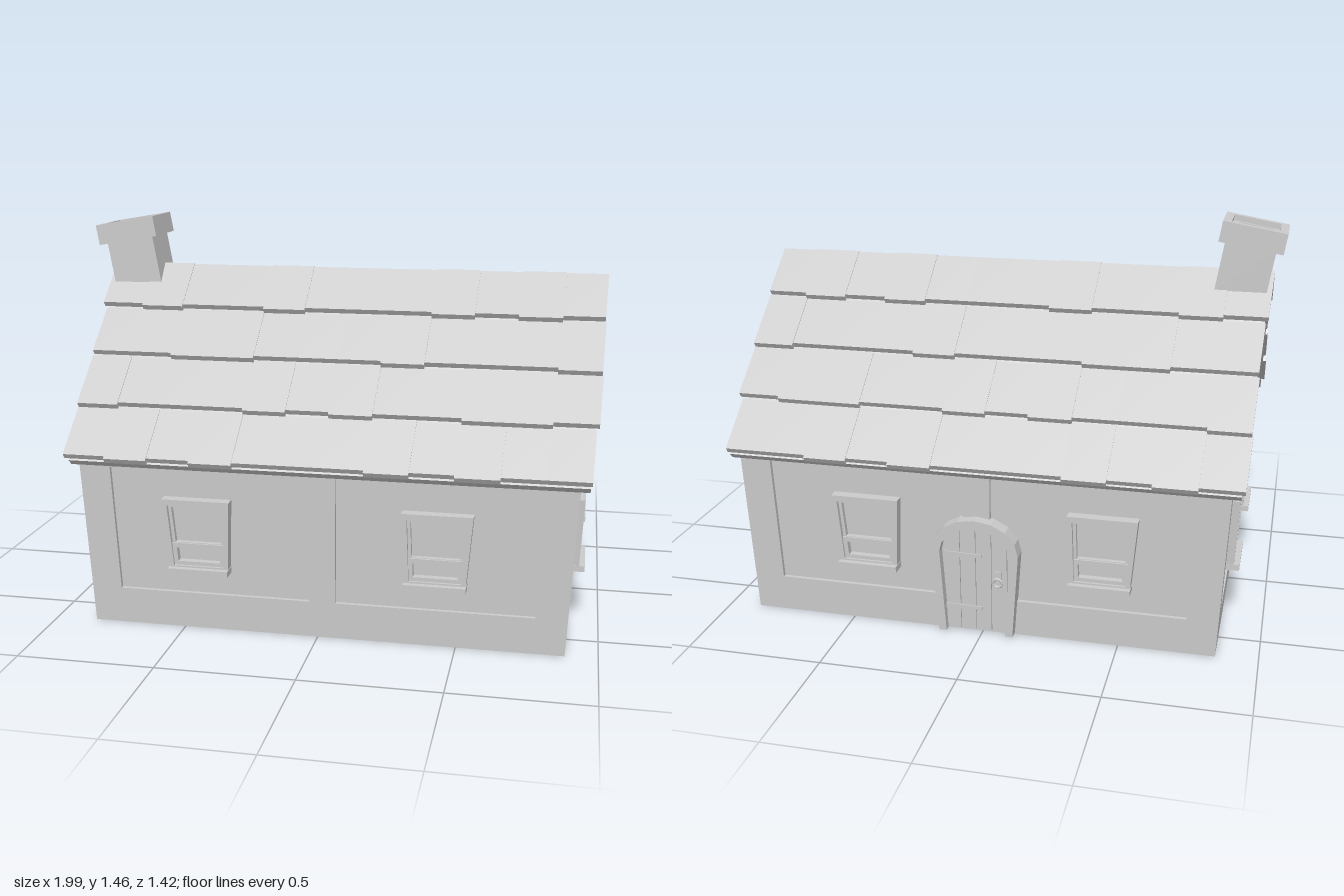
import * as THREE from 'three';

const material = new THREE.MeshStandardMaterial({ color: 0xcccccc, flatShading: true });
const W = 0.866, D = 0.645;        // half width and half depth at the ground
const CENTRE = 0.018;              // small sideways offset of the house under its leaning chimney

// Walls flare outwards with height.
function lean(geo, leanZ = true) {
  const p = geo.attributes.position;
  for (let i = 0; i < p.count; i++) {
    const y = p.getY(i);
    p.setX(i, p.getX(i) * (1 + 0.06 * y) + CENTRE);
    if (leanZ) p.setZ(i, p.getZ(i) * (1 + 0.037 * y));
  }
  geo.computeVertexNormals();
  return geo;
}

function add(parent, name, geo) {
  const mesh = new THREE.Mesh(geo, material);
  mesh.name = name;
  parent.add(mesh);
  return mesh;
}

const toShape = pts => new THREE.Shape(pts.map(p => new THREE.Vector2(...p)));

// Flat outline with holes, from depth d0 to d1.
function slab(pts, holes, d0, d1) {
  const shape = toShape(pts);
  holes.forEach(h => shape.holes.push(toShape(h)));
  return new THREE.ExtrudeGeometry(shape, { depth: d1 - d0, bevelEnabled: false }).translate(0, 0, d0);
}

// Cross-section in (z, y) swept along x.
const prism = (pts, x0, x1) => slab(pts, [], 0, x1 - x0).rotateY(-Math.PI / 2).translate(x1, 0, 0);

// Put a piece modelled facing +z onto a wall.
const onWall = (geo, angle, dist, u = 0) =>
  lean(geo.translate(u, 0, dist).rotateY(angle));

const rect = (x0, x1, y0, y1) => [[x0, y0], [x1, y0], [x1, y1], [x0, y1]];

function addWindow(parent, angle, dist, u) {
  const g = new THREE.Group();
  g.name = 'window';
  parent.add(g);
  const half = y => 0.108 + (y - 0.245) * 0.055;
  const trap = (y0, y1, inset) => [
    [-half(y0) + inset, y0], [half(y0) - inset, y0], [half(y1) - inset, y1], [-half(y1) + inset, y1]];
  const piece = (name, geo) => add(g, name, onWall(geo, angle, dist, u));
  piece('windowFrame', slab(trap(0.24, 0.5, 0), [trap(0.25, 0.478, 0.017)], -0.018, 0.024));
  piece('upperSash', slab(trap(0.315, 0.48, 0.015), [trap(0.335, 0.468, 0.028)], -0.018, 0.008));
  piece('lowerSash', slab(trap(0.248, 0.333, 0.015), [trap(0.264, 0.315, 0.032)], -0.018, 0.015));
  piece('windowPane', slab(trap(0.248, 0.48, 0.016), [], -0.016, -0.01));
  piece('windowSill', slab(rect(-0.11, 0.11, 0.222, 0.244), [], -0.018, 0.045));
}

function addDoor(parent) {
  const g = new THREE.Group();
  g.name = 'door';
  parent.add(g);
  const piece = (name, geo) => add(g, name, onWall(geo, Math.PI, D));
  // Arched outline: sides widen upwards, then a shallow arc.
  const arch = (foot, spring, ySpring, yTop, y0) => {
    const pts = [[-foot, y0], [foot, y0]];
    for (let i = 0; i <= 8; i++) {
      const a = Math.PI * i / 8;
      pts.push([spring * Math.cos(a), ySpring + (yTop - ySpring) * Math.sin(a)]);
    }
    return pts;
  };
  const outer = arch(0.138, 0.158, 0.33, 0.458, 0.008);
  const inner = arch(0.11, 0.127, 0.325, 0.425, 0.009).reverse();
  // The frame is open at the foot.
  const frame = [outer[1], ...outer.slice(2), outer[0],
    inner[inner.length - 1], ...inner.slice(0, -2), inner[inner.length - 2]];
  piece('doorFrame', slab(frame, [], -0.015, 0.042));
  piece('doorBack', slab(arch(0.112, 0.129, 0.325, 0.427, 0.008), [], -0.015, 0.008));
  // Planks follow the arch.
  const top = x => 0.325 + 0.1 * Math.sqrt(Math.max(0, 1 - (x / 0.128) ** 2));
  for (let i = 0; i < 4; i++) {
    const a = -0.115 + i * 0.0575 + 0.003, b = a + 0.0515, m = (a + b) / 2;
    piece('doorPlank', slab([[a, 0.012], [b, 0.012], [b, top(b)], [m, top(m)], [a, top(a)]], [], 0, 0.016));
  }
  for (const y of [0.1, 0.31])
    piece('doorHinge', slab([[-0.114, y - 0.01], [0.02, y - 0.006], [0.02, y + 0.006], [-0.114, y + 0.01]], [], 0.01, 0.02));
  piece('handlePlate', slab(rect(0.07, 0.092, 0.2, 0.255), [], 0.01, 0.022));
  piece('doorHandle', new THREE.TorusGeometry(0.016, 0.005, 6, 12).translate(0.081, 0.215, 0.028));
}

function addWalls(parent) {
  const gable = (z, top) => [[-z, 0], [z, 0], [z, 0.62], [0, top], [-z, 0.62]];
  const t = 0.015;
  add(parent, 'wallCore', lean(prism(gable(D - t, 1.215), -W + t, W - t)));
  // Timber framing around sunken panels.
  for (const angle of [0, Math.PI]) {
    add(parent, 'longWallFrame', onWall(slab(rect(-W, W, 0, 0.62),
      [rect(-0.755, -0.048, 0.135, 0.605), rect(0.048, 0.755, 0.135, 0.605)], -t, 0), angle, D));
  }
  for (const s of [-1, 1]) {
    const holes = [];
    for (const m of [-1, 1]) {
      holes.push(rect(0.04, 0.545, 0.135, 0.645).map(([z, y]) => [m * z, y]));
      holes.push([[0.04, 0.725], [0.505, 0.725], [0.04, 1.16]].map(([z, y]) => [m * z, y]));
    }
    add(parent, 'gableFrame', onWall(slab(gable(D, 1.225), holes, -t, 0), s * Math.PI / 2, W));
  }
}

function addRoof(parent) {
  const R = 0.908, COLS = 12, step = 2 * R / COLS;
  add(parent, 'roofDeck', lean(prism(
    [[0, 1.25], [-0.68, 0.627], [-0.66, 0.607], [0, 1.215], [0.66, 0.607], [0.68, 0.627]],
    -R + 0.012, R - 0.012), false));
  // Columns marked 1 hang lower and sit slightly proud.
  const rows = ['010010001010', '001100010001', '100010100110', '010100010100'];
  rows.forEach((row, i) => {
    for (let c = 0; c < COLS; c++) {
      const low = row[c] === '1' ? 1 : 0;
      const z0 = 0.172 * i, y0 = 1.262 - 0.158 * i + 0.003 * low;
      const z1 = z0 + 0.181 + 0.012 * low, y1 = y0 - 0.134 - 0.009 * low;
      const jag = 0.004 * ((i * 2 + c) % 3);
      const x0 = -R + c * step + (c === 0 ? jag : 0);
      const x1 = -R + (c + 1) * step - (c === COLS - 1 ? jag : 0);
      for (const m of [-1, 1]) {
        const pts = [[z0, y0], [z1, y1], [z1 - 0.012, y1 - 0.018], [z0 - 0.012, y0 - 0.018]];
        add(parent, 'roofTile', lean(prism(pts.map(([z, y]) => [m * z, y]), x0, x1), false));
      }
    }
  });
}

function addChimney(parent) {
  const g = new THREE.Group();
  g.name = 'chimney';
  g.position.set(-0.877, 1.4, 0);
  g.rotation.z = 0.17;
  parent.add(g);
  const ring = (a, b, c, d, y0, y1) =>
    slab(rect(-a, a, -b, b), [rect(-c, c, -d, d)], y0, y1).rotateX(-Math.PI / 2);
  add(g, 'chimneyShaft', new THREE.BoxGeometry(0.188, 0.195, 0.176).translate(0.002, -0.1225, 0));
  add(g, 'chimneyCap', ring(0.119, 0.106, 0.088, 0.076, -0.039, 0.039));
  add(g, 'chimneyLip', ring(0.09, 0.078, 0.068, 0.058, -0.036, 0.018));
}

export function createModel() {
  const house = new THREE.Group();
  house.name = 'cottage';
  addWalls(house);
  addRoof(house);
  addChimney(house);
  addDoor(house);
  // Windows: two on every wall.
  for (const x of [-0.445, 0.402]) {
    addWindow(house, 0, D, x);
    addWindow(house, Math.PI, D, -x);
  }
  for (const s of [-1, 1])
    for (const u of [-0.282, 0.282]) addWindow(house, s * Math.PI / 2, W, u);
  return house;
}
